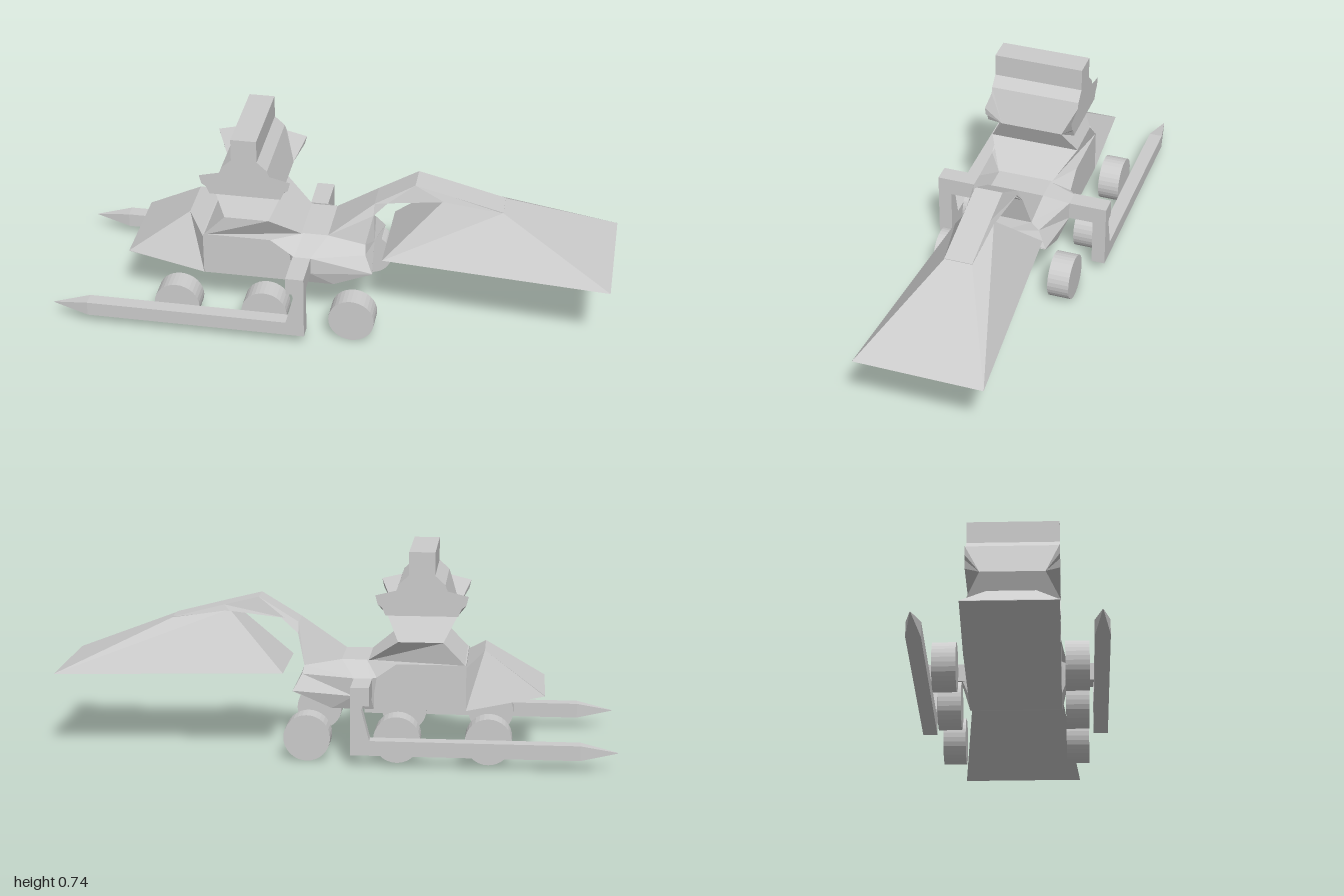
import * as THREE from 'three';

const material = new THREE.MeshStandardMaterial({ color: 0xcccccc, flatShading: true });

// Skin a list of closed rings (equal point counts), cap both ends, face outwards.
function loft(name, rings) {
  const tris = [];
  const n = rings[0].length;
  for (let r = 0; r < rings.length - 1; r++) {
    for (let i = 0; i < n; i++) {
      const j = (i + 1) % n;
      const a = rings[r][i], b = rings[r][j], c = rings[r + 1][j], d = rings[r + 1][i];
      tris.push([a, b, c], [a, c, d]);
    }
  }
  const cap = (ring, flip) => {
    const mid = [0, 1, 2].map(k => ring.reduce((s, p) => s + p[k], 0) / n);
    ring.forEach((p, i) => {
      const q = ring[(i + 1) % n];
      tris.push(flip ? [mid, q, p] : [mid, p, q]);
    });
  };
  cap(rings[0], true);
  cap(rings[rings.length - 1], false);
  // Signed volume decides the winding
  let volume = 0;
  for (const [a, b, c] of tris) {
    volume += a[0] * (b[1] * c[2] - b[2] * c[1]) + a[1] * (b[2] * c[0] - b[0] * c[2]) + a[2] * (b[0] * c[1] - b[1] * c[0]);
  }
  const position = tris.flatMap(([a, b, c]) => (volume < 0 ? [a, c, b] : [a, b, c]).flat());
  const geometry = new THREE.BufferGeometry();
  geometry.setAttribute('position', new THREE.Float32BufferAttribute(position, 3));
  geometry.computeVertexNormals();
  const mesh = new THREE.Mesh(geometry, material);
  mesh.name = name;
  return mesh;
}

// Ring from its +z half, mirrored to -z
const mirrorZ = half => [...half, ...half.slice().reverse().map(([x, y, z]) => [x, y, -z])];

// Horizontal rectangle at height y
const rectY = (y, x0, x1, z0, z1) => [[x0, y, z0], [x1, y, z0], [x1, y, z1], [x0, y, z1]];
// Upright rectangle at x
const rectX = (x, y0, y1, z0, z1) => [[x, y0, z0], [x, y1, z0], [x, y1, z1], [x, y0, z1]];

function makeHead() {
  const cx = -0.308;
  // Half profile: chimney, shoulders, then the jagged ear
  const upper = [[0.046, 0.738], [0.046, 0.655], [0.082, 0.622]];
  const ear = [[0.09, 0.6], [0.164, 0.582], [0.156, 0.55], [0.14, 0.538], [0.128, 0.51]];
  const neck = [0.123, 0.5];
  const ring = (side, isEar) => {
    const half = [
      ...upper.map(([x, y]) => [x, y, 0.165 * side]),
      ...ear.map(([x, y]) => isEar ? [x, y, 0.165 * side] : [...neck, 0.115 * side]),
    ];
    return [
      ...half.map(([x, y, z]) => [cx + x, y, z]),
      ...half.slice().reverse().map(([x, y, z]) => [cx - x, y, z]),
    ];
  };
  return loft('head', [ring(1, true), ring(1, false), ring(-1, false), ring(-1, true)]);
}

export function createModel() {
  const model = new THREE.Group();
  model.name = 'loaderVehicle';

  // Chassis with a wider hub and sloped rear
  model.add(loft('body', [
    mirrorZ([[-0.467, 0.335, 0.165], [-0.467, 0.285, 0.165], [-0.467, 0.22, 0.165], [-0.467, 0.17, 0.165]]),
    mirrorZ([[-0.22, 0.335, 0.165], [-0.15, 0.285, 0.165], [-0.14, 0.22, 0.165], [-0.14, 0.17, 0.165]]),
    mirrorZ([[-0.11, 0.335, 0.1], [-0.13, 0.285, 0.185], [-0.13, 0.22, 0.185], [-0.13, 0.17, 0.165]]),
    mirrorZ([[-0.02, 0.335, 0.1], [-0.07, 0.285, 0.185], [-0.07, 0.22, 0.185], [0.01, 0.17, 0.165]]),
    mirrorZ([[0.115, 0.31, 0.1], [0.12, 0.285, 0.13], [0.15, 0.23, 0.165], [0.15, 0.228, 0.165]]),
  ]));

  // Wedge nose with a raised ridge
  model.add(loft('nose', [
    mirrorZ([[-0.745, 0.232, 0.165], [-0.745, 0.23, 0.165]]),
    mirrorZ([[-0.53, 0.375, 0.085], [-0.467, 0.17, 0.165]]),
    mirrorZ([[-0.467, 0.325, 0.165], [-0.467, 0.17, 0.165]]),
  ]));

  // Tapered seat block and neck under the head
  model.add(loft('trunk', [
    [[-0.467, 0.33, 0.165], [-0.11, 0.33, 0.1], [-0.11, 0.33, -0.1], [-0.467, 0.33, -0.165]],
    rectY(0.415, -0.385, -0.225, 0.165, -0.165),
    rectY(0.5, -0.431, -0.185, 0.115, -0.115),
  ]));
  model.add(makeHead());

  // Bent boom rising to the rear scoop
  model.add(loft('boom', [
    mirrorZ([[-0.02, 0.335, 0.1], [0.115, 0.31, 0.1]]),
    mirrorZ([[0.14, 0.458, 0.055], [0.14, 0.42, 0.075]]),
    mirrorZ([[0.285, 0.547, 0.05], [0.19, 0.475, 0.07]]),
    mirrorZ([[0.41, 0.516, 0.05], [0.39, 0.495, 0.06]]),
    mirrorZ([[0.6, 0.467, 0.05], [0.6, 0.463, 0.05]]),
  ]));
  model.add(loft('scoop', [
    mirrorZ([[0.185, 0.292, 0.165], [1, 0.288, 0.23]]),
    mirrorZ([[0.39, 0.5, 0.055], [0.6, 0.465, 0.05]]),
  ]));

  for (const side of [1, -1]) {
    // Side arm, post and pointed lifting fork
    const fork = new THREE.Group();
    fork.name = side > 0 ? 'leftFork' : 'rightFork';
    const zi = 0.275 * side, zo = 0.325 * side;
    fork.add(loft('arm', [
      rectX(-0.135, 0.22, 0.285, 0.15 * side, zo),
      rectX(-0.07, 0.22, 0.285, 0.15 * side, zo),
    ]));
    fork.add(loft('post', [
      rectY(0.06, -0.15, -0.07, zi, zo),
      rectY(0.1, -0.135, -0.07, zi, zo),
      rectY(0.205, -0.108, -0.07, zi, zo),
      rectY(0.285, -0.135, -0.07, zi, zo),
    ]));
    fork.add(loft('tine', [
      rectX(-0.07, 0.042, 0.095, zi, zo),
      rectX(-0.87, 0.042, 0.095, zi, zo),
      rectX(-1, 0.066, 0.068, 0.299 * side, 0.301 * side),
    ]));
    model.add(fork);

    // Three wheels per side
    for (const x of [-0.55, -0.228, 0.09]) {
      const geometry = new THREE.CylinderGeometry(0.083, 0.083, 0.08, 32).rotateX(Math.PI / 2);
      const wheel = new THREE.Mesh(geometry, material);
      wheel.name = 'wheel';
      wheel.position.set(x, 0.083, 0.22 * side);
      model.add(wheel);
    }
  }
  return model;
}
